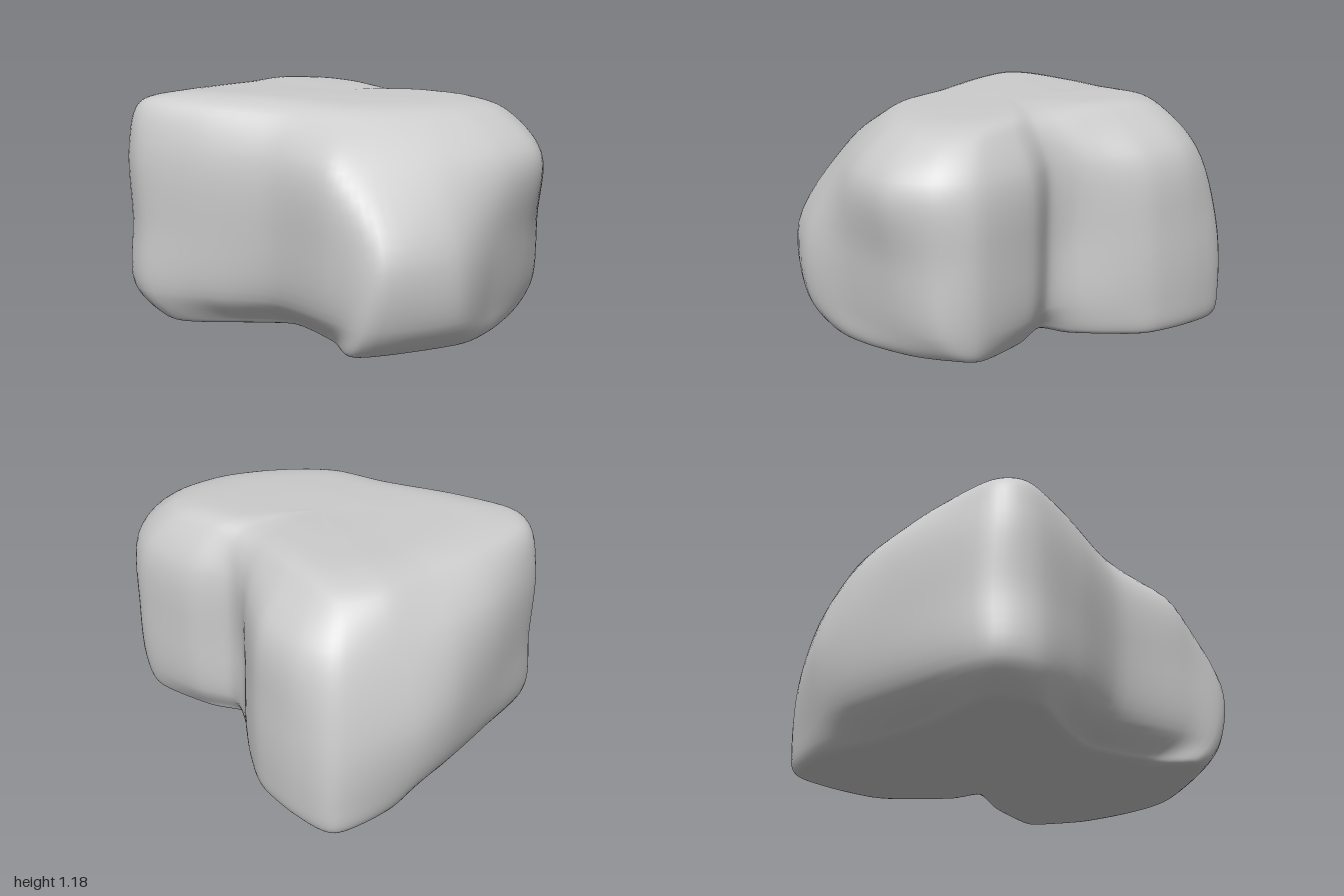
import * as THREE from 'three';

const AROUND = 126; // samples around each outline
const UP = 60;      // samples from the underside centre to the top centre

// Horizontal outlines as x, z pairs, all starting at the back right corner
const foot = [-.76, -.77, -.54, -.8, -.28, -.75, -.12, -.65, .04, -.5, .18, -.41, .4, -.47,
  .7, -.5, .82, -.42, .87, -.2, .89, .1, .85, .36, .55, .77, .33, .63, .02, .5, -.24, .56,
  -.6, .68, -.8, .52, -.78, .18, -.8, -.17, -.85, -.46];
const skirt = [-.77, -.79, -.54, -.82, -.28, -.77, -.11, -.67, .05, -.53, .2, -.46, .4, -.53,
  .72, -.53, .88, -.42, .92, -.2, .92, .15, .91, .48, .64, .81, .4, .75, 0, .62, -.36, .7,
  -.69, .75, -.88, .6, -.92, .2, -.94, -.2, -.91, -.46];
const waist = [-.76, -.77, -.53, -.81, -.26, -.76, -.08, -.64, .06, -.51, .2, -.47, .4, -.55,
  .74, -.54, .9, -.41, .96, -.18, .95, .15, .91, .5, .7, .8, .4, .78, 0, .68, -.4, .74,
  -.7, .75, -.89, .59, -.97, .2, -1, -.18, -.95, -.44];
const shoulder = [-.69, -.68, -.5, -.75, -.25, -.71, -.06, -.59, .07, -.5, .2, -.46, .4, -.53,
  .72, -.52, .9, -.4, 1, -.18, .94, .11, .76, .4, .52, .66, .36, .74, 0, .67, -.38, .73,
  -.71, .75, -.88, .61, -.95, .2, -.93, -.14, -.83, -.42];
const brow = [-.58, -.54, -.44, -.57, -.23, -.53, -.04, -.47, .1, -.42, .22, -.4, .38, -.42,
  .62, -.42, .76, -.33, .82, -.16, .77, .06, .64, .26, .47, .43, .3, .53, 0, .56, -.38, .65,
  -.7, .69, -.83, .57, -.83, .2, -.77, -.09, -.71, -.36];

// Height changes along the lowest and highest outlines
const flat = new Array(21).fill(0);
const footLift = [-.01, -.01, -.01, 0, .01, .05, .03, .02, .03, .01, 0, 0, .01, .02, .03, .02,
  .01, .03, .02, .01, 0];
const browLift = [0, 0, 0, -.01, -.02, -.02, 0, 0, 0, 0, 0, 0, 0, 0, .01, .02, .02, .01, 0, 0, .01];

// Outline, its height changes, scale and height of each level
const levels = [
  [foot, footLift, 0, .03], [foot, footLift, .5, .025], [foot, footLift, .94, .03],
  [foot, footLift, 1, .055], [skirt, flat, 1, .2], [waist, flat, 1, .53],
  [shoulder, flat, 1, .9], [brow, browLift, 1, 1.09], [brow, browLift, .83, 1.145],
  [brow, browLift, .45, 1.165], [brow, browLift, 0, 1.165],
];

function ring([outline, lift, scale, y]) {
  const pts = lift.map((dy, i) => {
    const x = outline[2 * i] * scale, z = outline[2 * i + 1] * scale;
    // top and underside tilt gently in opposite directions
    return new THREE.Vector3(x, y + dy * scale ** 2 + .02 * x * (1 - y / .6), z);
  });
  const curve = new THREE.CatmullRomCurve3(pts, true, 'catmullrom', .4);
  return Array.from({ length: AROUND }, (_, i) => curve.getPoint(i / AROUND));
}

// Loft a smooth skin through the levels
function boulderGeometry() {
  const rings = levels.map(ring);
  const position = [], index = [];
  for (let i = 0; i < AROUND; i++) {
    const rib = new THREE.CatmullRomCurve3(rings.map((r) => r[i]));
    for (let j = 0; j <= UP; j++) position.push(...rib.getPoint(j / UP).toArray());
    for (let j = 0; j < UP; j++) {
      const a = i * (UP + 1) + j;
      const b = ((i + 1) % AROUND) * (UP + 1) + j;
      if (j > 0) index.push(a, a + 1, b);
      if (j < UP - 1) index.push(b, a + 1, b + 1);
    }
  }
  const geo = new THREE.BufferGeometry();
  geo.setAttribute('position', new THREE.Float32BufferAttribute(position, 3));
  geo.setIndex(index);
  geo.computeVertexNormals();

  // Both cap centres share one vertical normal
  const normal = geo.attributes.normal;
  for (let i = 0; i < AROUND; i++) {
    normal.setXYZ(i * (UP + 1), 0, -1, 0);
    normal.setXYZ(i * (UP + 1) + UP, 0, 1, 0);
  }
  return geo;
}

export function createModel() {
  const group = new THREE.Group();
  group.name = 'rock';
  const boulder = new THREE.Mesh(
    boulderGeometry(),
    new THREE.MeshStandardMaterial({ color: 0xcccccc }),
  );
  boulder.name = 'boulder';
  group.add(boulder);
  return group;
}
